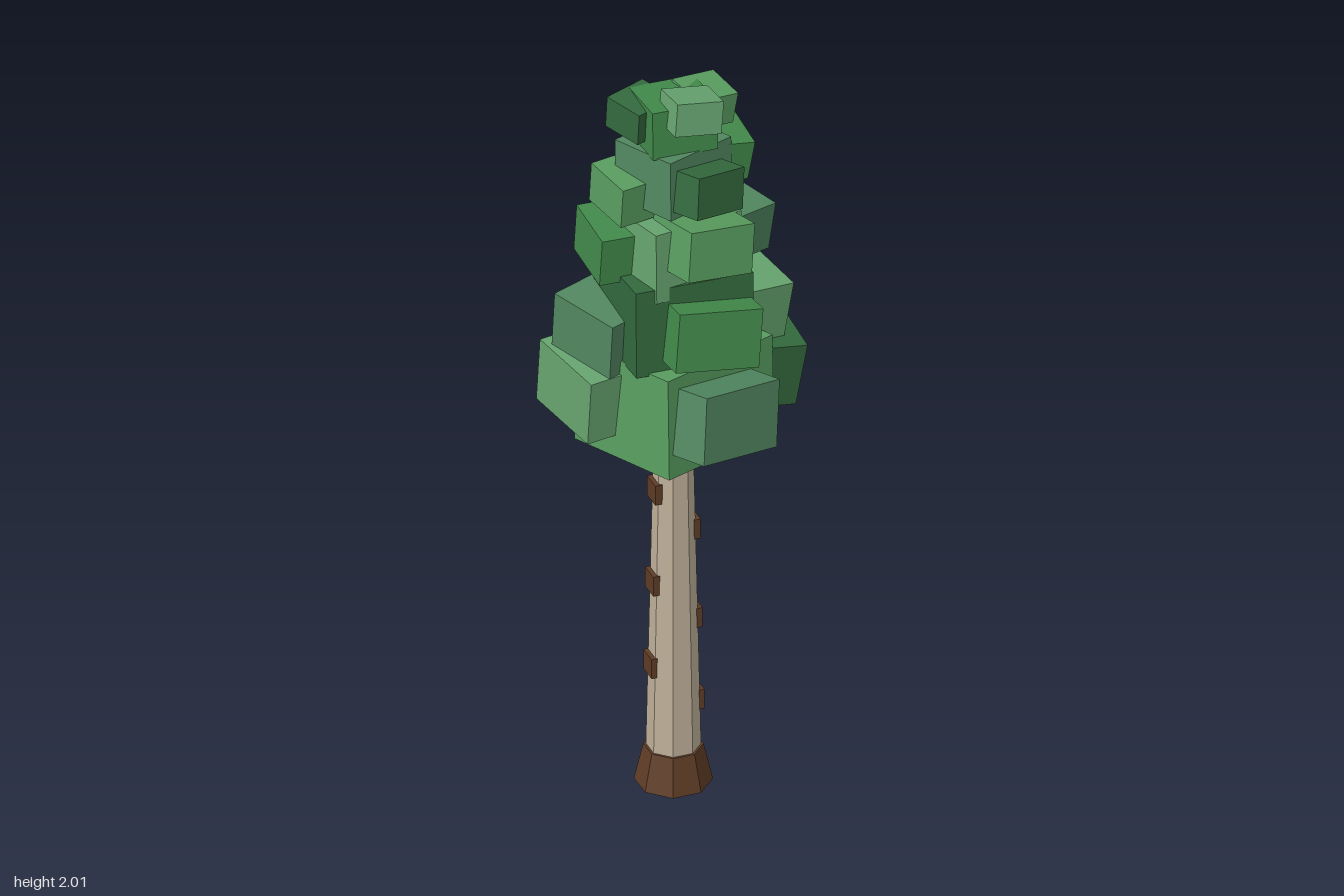
import * as THREE from 'three';

const GREENS = [0x346a3e, 0x428a4b, 0x599e60, 0x528861, 0x67a570];
const CX = -0.012, CZ = -0.04; // trunk axis

const material = (color) => new THREE.MeshStandardMaterial({ color, flatShading: true });

function add(parent, name, geometry, mat, position, rotation = [0, 0, 0]) {
  const mesh = new THREE.Mesh(geometry, mat);
  mesh.name = name;
  mesh.position.set(...position);
  mesh.rotation.set(...rotation);
  parent.add(mesh);
  return mesh;
}

// Eight-sided tapered post with a flat side facing front
function post(rTop, rBottom, y0, y1) {
  return new THREE.CylinderGeometry(rTop, rBottom, y1 - y0, 8)
    .rotateY(Math.PI / 8)
    .translate(0, (y0 + y1) / 2, 0);
}

export function createModel() {
  const tree = new THREE.Group();
  tree.name = 'tree';

  // Trunk and flared foot
  const bark = material(0xbfb19a), brown = material(0x5e3c26);
  add(tree, 'trunk', post(0.046, 0.07, 0, 1.1), bark, [CX, 0, CZ]);
  add(tree, 'trunkFoot', post(0.074, 0.097, 0.003, 0.103), brown, [CX, 0, CZ]);

  // Bark knots on alternating sides
  const knot = new THREE.BoxGeometry(0.025, 0.055, 0.055);
  const radiusAt = (y) => 0.063 - 0.02 * y;
  for (const y of [0.23, 0.465, 0.72, 0.97]) {
    add(tree, 'barkKnotLeft', knot, brown, [CX + radiusAt(y), y, CZ]);
  }
  for (const y of [0.345, 0.58, 0.84]) {
    add(tree, 'barkKnotRight', knot, brown, [CX - radiusAt(y), y, CZ]);
  }

  // Foliage: five shrinking tiers, each a core block with three blocks around it.
  // Blocks are [x, y, z, green, turn]; sizes shrink with each tier.
  const tiers = [
    { core: 0.36, side: 0.25, blocks: {
      foliageCore: [-0.012, 1.125, CZ, 2, 0.4], foliageFront: [0.02, 1.135, 0.115, 3, 0.4],
      foliageLeft: [0.178, 1.153, -0.09, 0, 0], foliageRight: [-0.165, 1.15, -0.1, 4, 0.2] } },
    { core: 0.31, side: 0.22, blocks: {
      foliageCore: [-0.012, 1.37, CZ, 0, 0], foliageFront: [0.02, 1.36, 0.085, 1, 0],
      foliageLeft: [0.155, 1.32, -0.087, 4, 0.2], foliageRight: [-0.145, 1.31, -0.1, 3, 0.4] } },
    { core: 0.25, side: 0.185, blocks: {
      foliageCore: [-0.012, 1.545, CZ, 4, 0.2], foliageFront: [0.02, 1.595, 0.075, 2, 0.2],
      foliageLeft: [0.135, 1.54, -0.09, 3, 0.4], foliageRight: [-0.125, 1.545, -0.09, 1, 0] } },
    { core: 0.21, side: 0.155, blocks: {
      foliageCore: [-0.012, 1.755, CZ, 3, 0.4], foliageFront: [0.018, 1.75, 0.065, 0, 0.4],
      foliageLeft: [0.102, 1.77, -0.071, 1, 0], foliageRight: [-0.11, 1.705, -0.065, 2, 0.2] } },
    { core: 0.172, side: 0.122, blocks: {
      foliageCore: [-0.012, 1.895, CZ, 1, 0], foliageFront: [0.005, 1.952, 0.035, 4, 0],
      foliageLeft: [0.077, 1.908, -0.07, 2, 0.2], foliageRight: [-0.087, 1.91, -0.073, 0, 0.4] } },
  ];
  const tilt = { // lean about x and z for each position
    foliageCore: [-0.07, -0.02], foliageFront: [-0.14, -0.13],
    foliageLeft: [0.1, -0.14], foliageRight: [0.07, -0.03],
  };
  const greens = GREENS.map(material);

  tiers.forEach(({ core, side, blocks }, i) => {
    const tier = new THREE.Group();
    tier.name = `foliageTier${i + 1}`;
    tree.add(tier);
    for (const [name, [x, y, z, green, turn]] of Object.entries(blocks)) {
      const isCore = name === 'foliageCore';
      const w = isCore ? core : side;
      const box = new THREE.BoxGeometry(w, w * (isCore ? 0.75 : 0.7), w * 0.92);
      const [rx, rz] = tilt[name];
      add(tier, name, box, greens[green], [x, y, z], [rx, turn, rz]);
    }
  });

  return tree;
}
